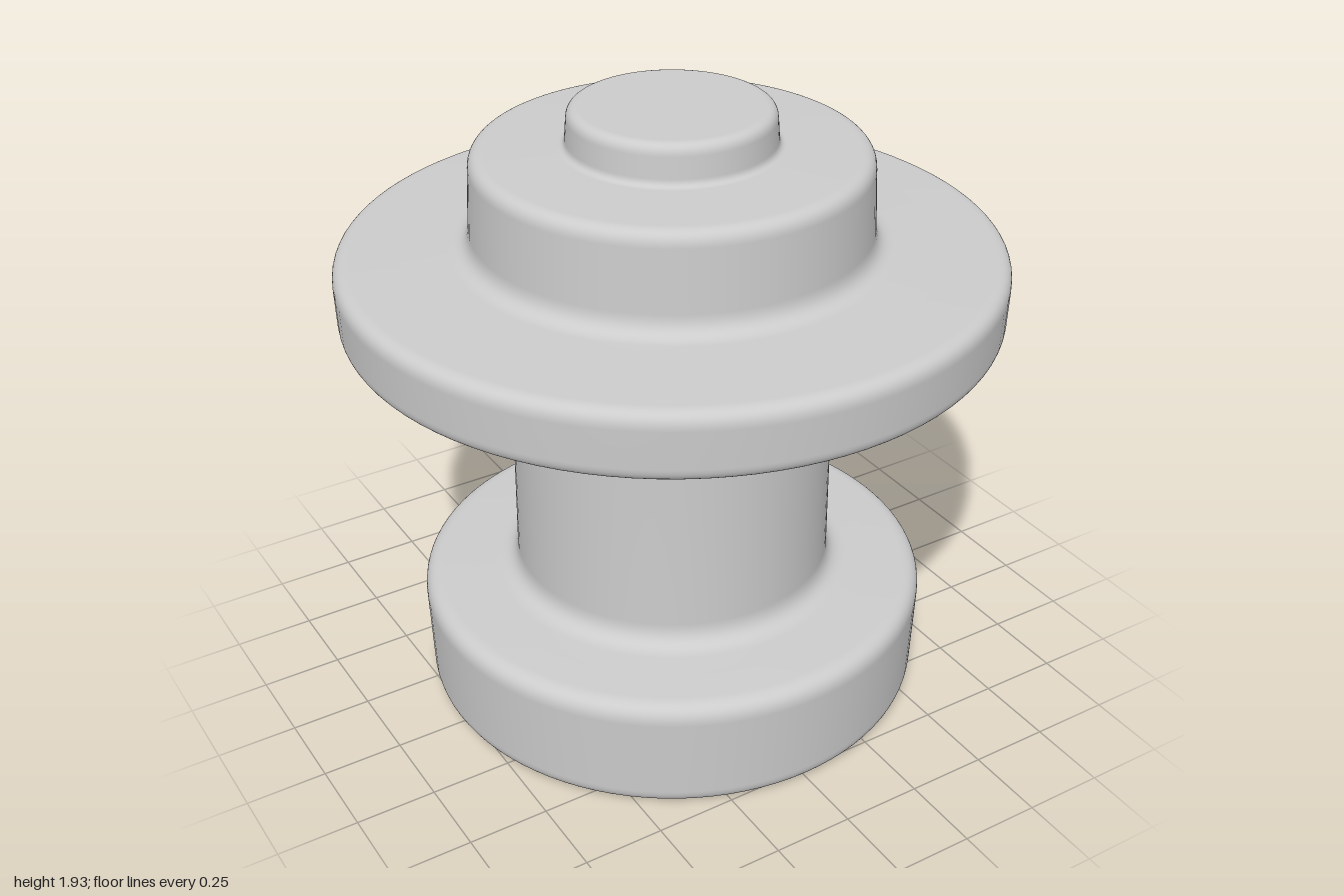
import * as THREE from 'three';

// Profile of [radius, height, fillet] corners, listed from bottom to top
function roundedProfile(corners) {
  const path = new THREE.CurvePath();
  const pts = corners.map(([r, y]) => new THREE.Vector2(r, y));
  const out = [];
  corners.forEach(([, , fillet], i) => {
    const p = pts[i];
    if (!fillet) {
      out.push(p);
      return;
    }
    const toward = (q) => p.clone().add(q.clone().sub(p).setLength(fillet));
    const bend = new THREE.QuadraticBezierCurve(toward(pts[i - 1]), p, toward(pts[i + 1]));
    out.push(...bend.getPoints(10));
  });
  return out;
}

// Parts meet midway along the flat or straight stretches, so shading stays continuous
const parts = {
  base: [[0, 0], [0.79, 0, 0.05], [0.803, 0.37, 0.06], [0.65, 0.377]],
  shaft: [[0.65, 0.377], [0.5, 0.383, 0.07], [0.497, 0.8], [0.5, 1.272, 0.08], [0.7, 1.276]],
  flange: [[0.7, 1.276], [0.996, 1.28, 0.045], [1.003, 1.49, 0.05], [0.8, 1.496]],
  collar: [[0.8, 1.496], [0.603, 1.503, 0.06], [0.59, 1.798, 0.045], [0.45, 1.802]],
  knob: [[0.45, 1.802], [0.312, 1.806, 0.022], [0.303, 1.926, 0.035], [0, 1.926]],
};

export function createModel() {
  const group = new THREE.Group();
  group.name = 'flangedSpool';
  const material = new THREE.MeshStandardMaterial({ color: 0xcccccc });
  for (const [name, corners] of Object.entries(parts)) {
    const mesh = new THREE.Mesh(new THREE.LatheGeometry(roundedProfile(corners), 96), material);
    mesh.name = name;
    group.add(mesh);
  }
  return group;
}
